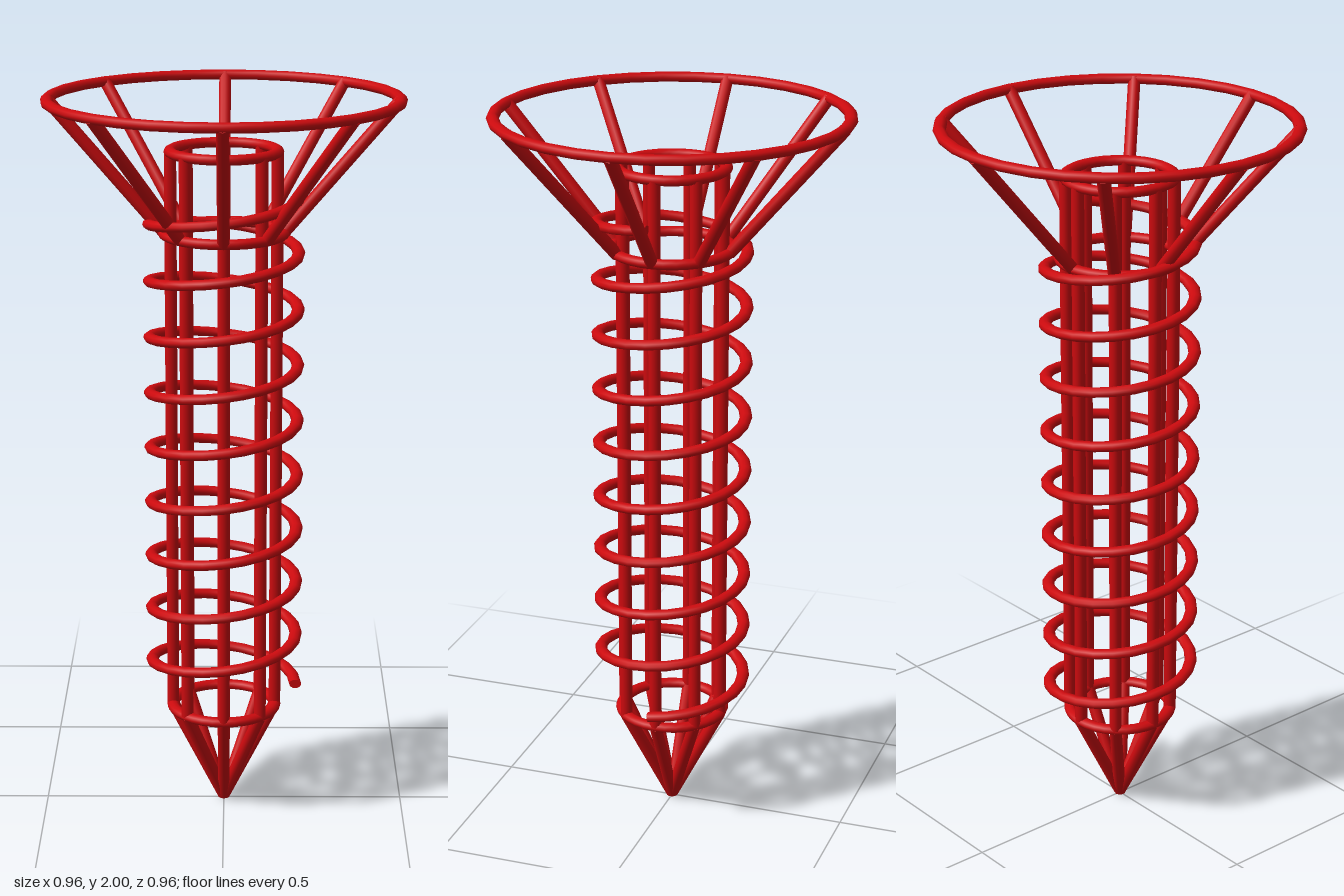
import * as THREE from 'three';

const RED = new THREE.MeshStandardMaterial({ color: 0xcc0a0e });
RED.name = 'red wire';

const WIRE = 0.017;      // wire radius
const FLAT = 0.8;        // rings and coil are slightly flattened in height
const SHAFT_R = 0.142;
const COLLAR_R = 0.159;
const HEAD_R = 0.464;
const SHAFT_Y = 0.287, SHAFT_TOP = 1.85, COLLAR_Y = 1.632, HEAD_Y = 1.986;

function addMesh(parent, name, geometry) {
  const mesh = new THREE.Mesh(geometry, RED);
  mesh.name = name;
  parent.add(mesh);
  return mesh;
}

// Horizontal wire ring
function addRing(parent, name, radius, y) {
  const geo = new THREE.TorusGeometry(radius, WIRE, 10, 32);
  geo.rotateX(Math.PI / 2).scale(1, FLAT, 1).translate(0, y, 0);
  addMesh(parent, name, geo);
}

// Eight straight rods running between two circles
function addRods(parent, name, r0, y0, r1, y1) {
  const up = new THREE.Vector3(0, 1, 0);
  for (let i = 0; i < 8; i++) {
    const a = (i * Math.PI) / 4, c = Math.cos(a), s = Math.sin(a);
    const from = new THREE.Vector3(r0 * c, y0, r0 * s);
    const to = new THREE.Vector3(r1 * c, y1, r1 * s);
    const dir = to.clone().sub(from);
    const rod = addMesh(parent, name, new THREE.CylinderGeometry(WIRE, WIRE, dir.length(), 10));
    rod.position.copy(from).add(to).multiplyScalar(0.5);
    rod.quaternion.setFromUnitVectors(up, dir.normalize());
  }
}

// Thread path: nine turns, stretched so that flattening restores its height
class Helix extends THREE.Curve {
  getPoint(t, target = new THREE.Vector3()) {
    const a = t * 9 * Math.PI * 2;
    return target.set(0.2 * Math.cos(a), (0.345 + 1.387 * t) / FLAT, -0.2 * Math.sin(a));
  }
}

function addThread(parent) {
  const path = new Helix();
  addMesh(parent, 'thread', new THREE.TubeGeometry(path, 9 * 24, WIRE, 10).scale(1, FLAT, 1));
  // Closed ends of the wire
  for (const [t, sign] of [[0, -1], [1, 1]]) {
    const cap = addMesh(parent, 'threadEnd', new THREE.CircleGeometry(WIRE, 10));
    const p = path.getPoint(t);
    cap.position.set(p.x, p.y * FLAT, p.z);
    cap.scale.y = FLAT;
    if (sign > 0) cap.rotation.y = Math.PI;
  }
}

export function createModel() {
  const model = new THREE.Group();
  model.name = 'wireScrew';
  const part = (name) => {
    const group = new THREE.Group();
    group.name = name;
    model.add(group);
    return group;
  };

  // Pointed tip
  const tip = part('tip');
  addRods(tip, 'tipRod', 0, 0.008, SHAFT_R, SHAFT_Y);

  // Cylindrical cage
  const shaft = part('shaft');
  addRods(shaft, 'shaftRod', SHAFT_R, SHAFT_Y, SHAFT_R, SHAFT_TOP);
  addRing(shaft, 'shaftBottomRing', SHAFT_R, SHAFT_Y);
  addRing(shaft, 'shaftTopRing', SHAFT_R, SHAFT_TOP);

  // Flared head
  const head = part('head');
  addRods(head, 'headSpoke', COLLAR_R, COLLAR_Y, HEAD_R, HEAD_Y);
  addRing(head, 'headCollar', COLLAR_R, COLLAR_Y);
  addRing(head, 'headRim', HEAD_R, HEAD_Y);

  addThread(part('coil'));
  return model;
}
